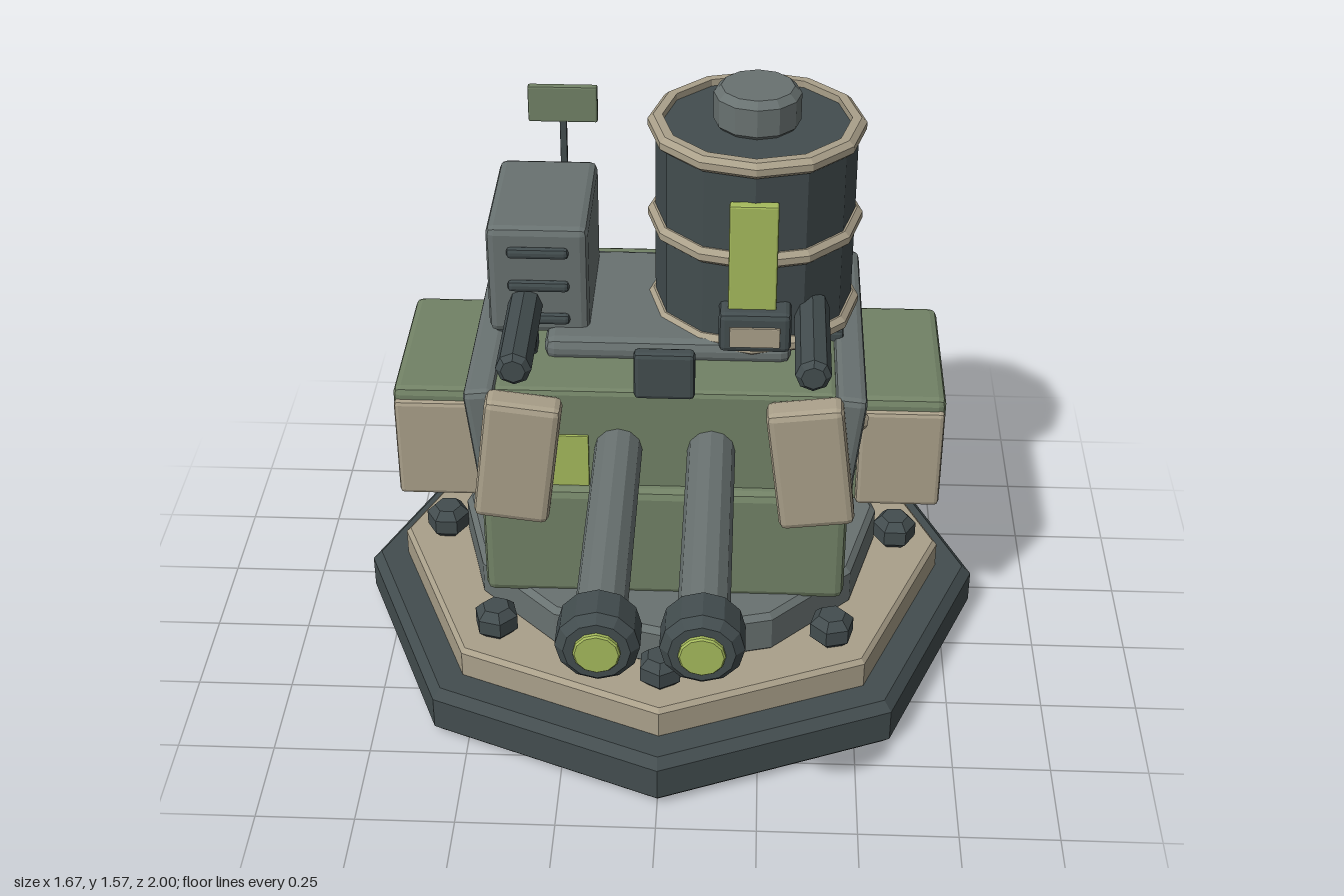
import * as THREE from 'three';
import { RoundedBoxGeometry } from 'three/addons/geometries/RoundedBoxGeometry.js';

const paint = (name, color) => {
  const m = new THREE.MeshStandardMaterial({ color, flatShading: true });
  m.name = name;
  return m;
};

export function createModel() {
  const model = new THREE.Group();
  model.name = 'turret';
  const dark = paint('dark steel', 0x434d4f);
  const grey = paint('grey steel', 0x697271);
  const tan = paint('tan', 0xaaa08a);
  const green = paint('olive green', 0x728266);
  const lime = paint('lime glow', 0xa5ba5c);

  const add = (name, geometry, material, x, y, z, parent = model) => {
    const mesh = new THREE.Mesh(geometry, material);
    mesh.name = name;
    mesh.position.set(x, y, z);
    parent.add(mesh);
    return mesh;
  };

  // box with chamfered edges, centred on its position
  const box = (name, material, w, h, d, x, y, z, bevel = 0.015) =>
    add(name, new RoundedBoxGeometry(w, h, d, 1, bevel), material, x, y, z);

  // prism with chamfered rims, standing on its position
  const prism = (name, material, r, h, sides, x, y, z, bevel = 0.015) => {
    const points = [[0, 0], [r - bevel, 0], [r, bevel], [r, h - bevel], [r - bevel, h], [0, h]]
      .map(([px, py]) => new THREE.Vector2(px, py));
    const geometry = new THREE.LatheGeometry(points, sides).toNonIndexed();
    geometry.computeVertexNormals();
    return add(name, geometry, material, x, y, z);
  };

  // the same prism lying along +z
  const rod = (...args) => {
    const mesh = prism(...args);
    mesh.rotation.x = Math.PI / 2;
    return mesh;
  };

  // stepped base with a ring of bolts
  const baseZ = -0.165;
  prism('base', dark, 0.835, 0.14, 8, 0, 0, baseZ, 0.025);
  prism('basePlate', tan, 0.735, 0.095, 8, 0, 0.13, baseZ, 0.012);
  prism('turntable', grey, 0.56, 0.12, 12, 0, 0.217, baseZ, 0.015);
  for (let i = 0; i < 8; i++) {
    const a = i * Math.PI / 4;
    const bolt = prism('baseBolt', dark, 0.058, 0.085, 6,
      Math.sin(a) * 0.615, 0.222, baseZ + Math.cos(a) * 0.615, 0.022);
    bolt.rotation.y = a;
  }

  // hull
  box('lowerHull', green, 0.925, 0.325, 0.79, 0, 0.487, -0.16, 0.022);
  box('upperHull', green, 0.85, 0.36, 0.73, 0, 0.75, -0.165);
  box('roofPlate', grey, 0.62, 0.065, 0.48, 0, 0.948, -0.19, 0.025);
  box('sightBlock', dark, 0.15, 0.13, 0.04, 0, 0.995, 0.215, 0.012);
  box('frontLamp', lime, 0.12, 0.15, 0.009, -0.25, 0.725, 0.204, 0.002);

  // rear hatch
  box('rearHatch', grey, 0.38, 0.18, 0.02, 0, 0.77, -0.532, 0.006);
  for (const x of [-0.14, 0.14]) {
    const bolt = rod('hatchBolt', dark, 0.014, 0.012, 6, x, 0.735, -0.552, 0.003);
    bolt.rotation.z = 0;
  }

  // parts mirrored on both flanks
  for (const s of [-1, 1]) {
    const slab = box('sideArmour', grey, 0.08, 0.37, 0.765, s * 0.44, 0.75, -0.157, 0.018);
    slab.rotation.z = -s * 0.11;
    for (const z of [0.09, -0.165, -0.42]) {
      const rivet = prism('armourRivet', tan, 0.025, 0.03, 8, s * 0.478, 0.79, z, 0.01);
      rivet.rotation.z = -s * (Math.PI / 2 + 0.11);
    }
    const shield = box('frontShield', tan, 0.19, 0.345, 0.08, s * 0.364, 0.76, 0.245, 0.018);
    shield.rotation.z = s * 0.125;
    for (const z of [-0.42, -0.1]) {
      box('armourClip', dark, 0.07, 0.04, 0.07, s * 0.41, 0.935, z, 0.01);
    }

    // side pods
    box('sidePod', green, 0.235, 0.325, 0.475, s * 0.598, 0.622, -0.25, 0.02);
    box('podFrontPlate', tan, 0.22, 0.29, 0.03, s * 0.603, 0.607, -0.014, 0.012);

    // main barrels
    const x = s * 0.116;
    rod('barrel', grey, 0.06, 0.72, 12, x, 0.76, 0.17, 0.005);
    rod('muzzle', dark, 0.095, 0.12, 12, x, 0.76, 0.868, 0.02);
    rod('muzzleGlow', lime, 0.053, 0.025, 12, x, 0.76, 0.975, 0.004);

    // small roof guns
    rod('roofGun', dark, 0.044, 0.35, 8, s * 0.36, 1.045, -0.05, 0.014);
    box('roofGunMount', dark, 0.06, 0.12, 0.07, s * 0.36, 0.975, 0, 0.01);
  }

  // drum with hoops, cap and level gauge
  const [dx, dz] = [0.212, -0.213];
  prism('drum', dark, 0.253, 0.51, 12, dx, 0.957, dz, 0.01);
  for (const y of [0.948, 1.193, 1.443]) {
    const hoop = [[0.235, 0], [0.258, 0], [0.272, 0.012], [0.272, 0.03], [0.258, 0.042], [0.235, 0.042], [0.235, 0]]
      .map(([px, py]) => new THREE.Vector2(px, py));
    const geometry = new THREE.LatheGeometry(hoop, 12).toNonIndexed();
    geometry.computeVertexNormals();
    add('drumHoop', geometry, tan, dx, y, dz);
  }
  prism('drumCap', grey, 0.109, 0.107, 12, dx, 1.46, dz, 0.018);
  box('drumGauge', lime, 0.12, 0.36, 0.03, 0.21, 1.195, 0.045, 0.005);
  box('gaugeFoot', dark, 0.18, 0.11, 0.09, 0.218, 1.035, 0.045, 0.015);
  box('gaugeFootPlate', tan, 0.125, 0.055, 0.009, 0.218, 1.028, 0.092, 0.002);

  // equipment cabinet with vents
  box('cabinet', grey, 0.255, 0.3, 0.385, -0.327, 1.11, -0.208, 0.02);
  for (const y of [1.196, 1.102, 1.008]) {
    box('cabinetVent', dark, 0.155, 0.03, 0.024, -0.325, y, -0.012, 0.011);
  }

  // aerial behind the cabinet
  box('aerialMast', dark, 0.018, 0.52, 0.018, -0.29, 1.18, -0.43, 0.003);
  box('aerialPanel', green, 0.18, 0.1, 0.022, -0.29, 1.405, -0.43, 0.005);

  return model;
}
